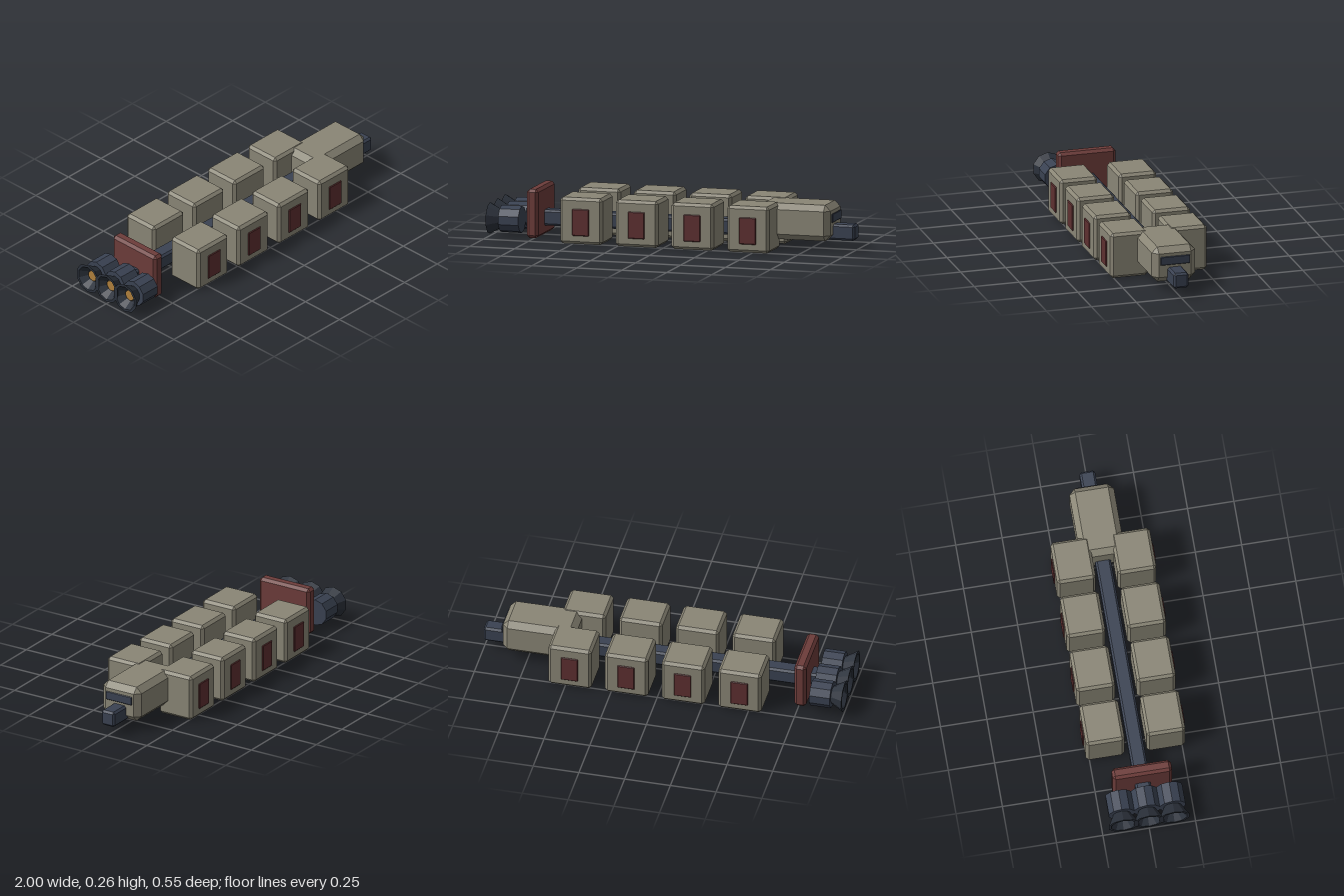
import * as THREE from 'three';
import { ConvexGeometry } from 'three/addons/geometries/ConvexGeometry.js';

const material = (name, color) => {
  const m = new THREE.MeshStandardMaterial({ color });
  m.name = name;
  return m;
};

// Box given by its extents, with every edge cut by a chamfer c
function chamferBox([x0, x1], [y0, y1], [z0, z1], c, cx = c) {
  const hx = (x1 - x0) / 2, hy = (y1 - y0) / 2, hz = (z1 - z0) / 2;
  const points = [];
  for (const sx of [-1, 1]) for (const sy of [-1, 1]) for (const sz of [-1, 1]) {
    points.push(
      new THREE.Vector3(sx * hx, sy * (hy - c), sz * (hz - c)),
      new THREE.Vector3(sx * (hx - cx), sy * hy, sz * (hz - c)),
      new THREE.Vector3(sx * (hx - cx), sy * (hy - c), sz * hz));
  }
  const geometry = new ConvexGeometry(points);
  geometry.translate((x0 + x1) / 2, (y0 + y1) / 2, (z0 + z1) / 2);
  return geometry;
}

// Faceted ten-sided turning, its profile [radius, distance] running towards -x
function turned(profile) {
  const points = profile.map(([r, d]) => new THREE.Vector2(r, d));
  const geometry = new THREE.LatheGeometry(points, 10, Math.PI / 2).toNonIndexed();
  geometry.computeVertexNormals();
  return geometry.rotateZ(Math.PI / 2);
}

export function createModel() {
  const hull = material('hull grey', 0x8a8676);
  const steel = material('dark steel', 0x3a4252);
  const nozzleSteel = material('nozzle steel', 0x2c323c);
  const red = material('bulkhead red', 0x6d3c3a);
  const hatchRed = material('hatch red', 0x5e2f30);
  const gold = material('engine gold', 0xb0803c);

  const model = new THREE.Group();
  model.name = 'cargoSpaceship';
  const add = (name, geometry, mat, parent = model) => {
    const mesh = new THREE.Mesh(geometry, mat);
    mesh.name = name;
    parent.add(mesh);
    return mesh;
  };

  // Spine and command cabin
  add('spine', chamferBox([-0.85, 1], [0.053, 0.138], [-0.042, 0.042], 0.011), steel);
  add('cabin', chamferBox([0.485, 0.882], [0.053, 0.247], [-0.12, 0.12], 0.031), hull);
  add('cabinWindow', chamferBox([0.884, 0.892], [0.153, 0.2], [-0.082, 0.082], 0.003), steel);

  // Bulkhead ahead of the engines
  add('bulkhead', chamferBox([-0.79, -0.725], [0.001, 0.264], [-0.16, 0.16], 0.015), red);

  // Four pairs of cargo containers with hatches on their outer sides
  for (let i = 0; i < 4; i++) {
    const x = -0.453 + i * 0.3095;
    for (const side of [-1, 1]) {
      const container = new THREE.Group();
      container.name = side > 0 ? 'frontContainer' : 'backContainer';
      const across = (a, b) => (side > 0 ? [a, b] : [-b, -a]);
      add('containerBody',
        chamferBox([x - 0.118, x + 0.118], [0, 0.25], across(0.059, 0.268), 0.015), hull, container);
      add('hatch',
        chamferBox([x - 0.047, x + 0.047], [0.046, 0.191], across(0.266, 0.275), 0.004), hatchRed, container);
      model.add(container);
    }
  }

  // Three engines: casing, flared hollow nozzle and glowing core
  for (const z of [-0.137, 0, 0.137]) {
    const engine = new THREE.Group();
    engine.name = 'engine';
    engine.position.set(-0.82, 0.097, z);
    add('casing', turned([[0, 0], [0.073, 0], [0.073, 0.112], [0, 0.112]]), steel, engine);
    add('nozzle', turned([[0.045, 0.11], [0.085, 0.178], [0.07, 0.178], [0.036, 0.135], [0, 0.135]]),
      nozzleSteel, engine);
    add('core', turned([[0.03, 0.135], [0.03, 0.143], [0, 0.143]]), gold, engine);
    model.add(engine);
  }
  return model;
}
